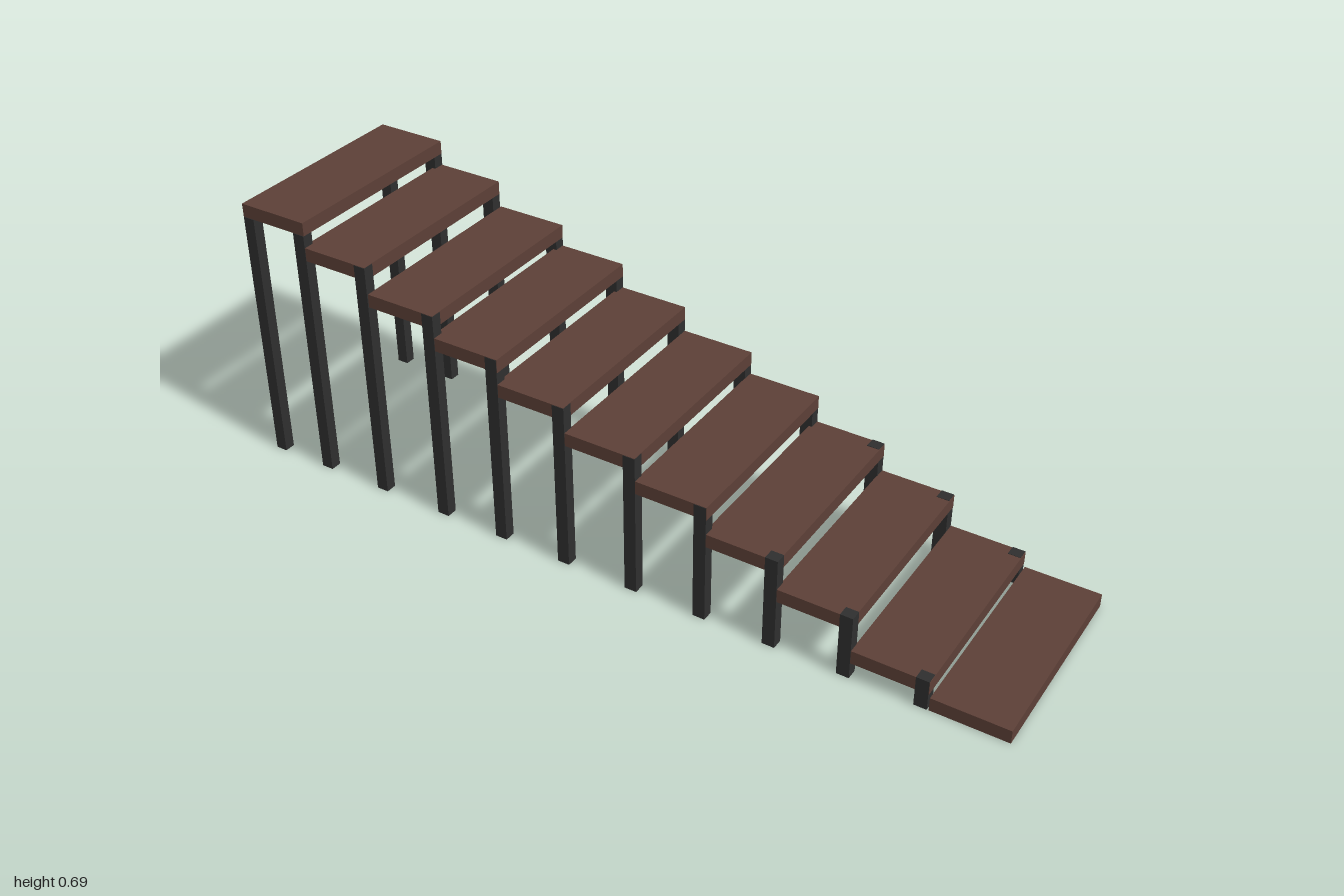
import * as THREE from 'three';

// right-hand end (x) and top height (y) of each tread, highest first
const STEPS = [
  [-0.815, 0.692], [-0.64, 0.627], [-0.452, 0.559], [-0.277, 0.502],
  [-0.1, 0.437], [0.085, 0.371], [0.268, 0.311], [0.444, 0.239],
  [0.627, 0.164], [0.812, 0.076], [1, 0.034],
];
const RUN = 0.185, THICK = 0.034, HALF = 0.256;
const LEG_X = 0.031, LEG_Z = 0.027, PROUD = 0.001;

export function createModel() {
  const wood = new THREE.MeshStandardMaterial({ name: 'brown wood', color: 0x5d4037 });
  const metal = new THREE.MeshStandardMaterial({ name: 'dark metal', color: 0x2f2f2f });
  const model = new THREE.Group();
  model.name = 'staircase';

  // box given by its lower and upper corners
  const box = (name, material, x0, x1, y0, y1, z0, z1) => {
    const mesh = new THREE.Mesh(new THREE.BoxGeometry(x1 - x0, y1 - y0, z1 - z0), material);
    mesh.position.set((x0 + x1) / 2, (y0 + y1) / 2, (z0 + z1) / 2);
    mesh.name = name;
    return mesh;
  };

  STEPS.forEach(([right, top], i) => {
    const step = new THREE.Group();
    step.name = `step${i + 1}`;
    model.add(step);
    step.add(box('tread', wood, right - RUN, right, top - THICK, top, -HALF, HALF));
    if (i === STEPS.length - 1) return; // the lowest tread lies on the ground

    // legs flank the tread ends; the top tread rests on its legs
    const legTop = i === 0 ? top - THICK : i >= 7 ? top + PROUD : top - PROUD;
    for (const side of [1, -1]) {
      const outer = side * (HALF + PROUD), inner = side * (HALF - LEG_Z);
      const z0 = Math.min(outer, inner), z1 = Math.max(outer, inner);
      const flush = i % 3 !== 0 && side > 0 ? PROUD : -PROUD;
      const x = right + flush;
      step.add(box(side > 0 ? 'frontLeg' : 'backLeg', metal, x - LEG_X, x, 0, legTop, z0, z1));
      // extra pair under the far end of the top tread
      if (i === 0) {
        const far = right - RUN;
        step.add(box(side > 0 ? 'frontEndLeg' : 'backEndLeg', metal, far + PROUD, far + LEG_X, 0, legTop, z0, z1));
      }
    }
  });
  return model;
}
